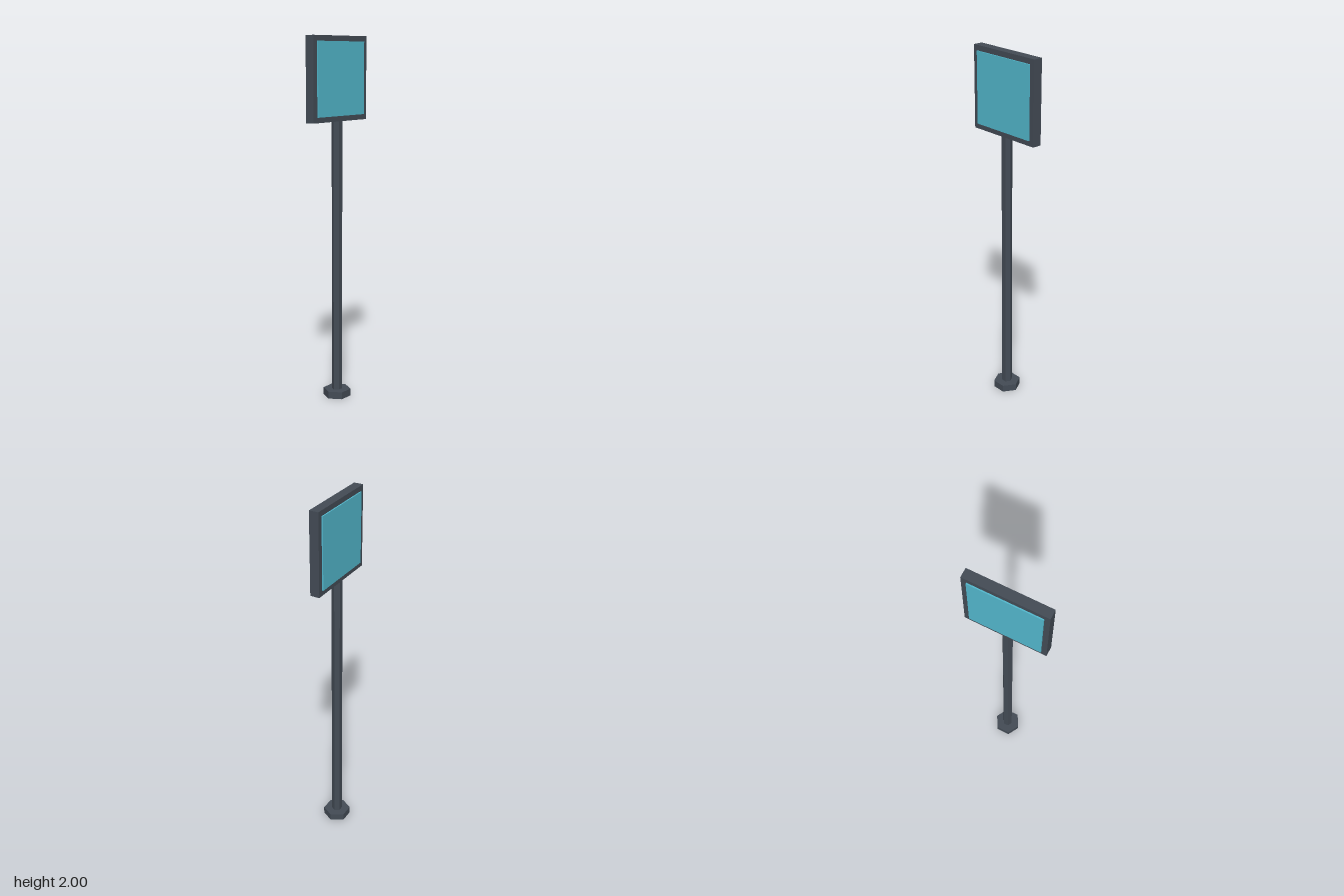
import * as THREE from 'three';

export function createModel() {
  const metal = new THREE.MeshStandardMaterial({ name: 'darkMetal', color: 0x434b55 });
  const glass = new THREE.MeshStandardMaterial({ name: 'cyanPanel', color: 0x52b7cc });
  const model = new THREE.Group();
  model.name = 'signPost';

  function add(name, geometry, material, y, z = 0) {
    const mesh = new THREE.Mesh(geometry, material);
    mesh.name = name;
    mesh.position.set(0, y, z);
    model.add(mesh);
  }

  // Six-sided prism with corners on the x axis and flat-shaded sides
  function hexPrism(radius, height) {
    const g = new THREE.CylinderGeometry(radius, radius, height, 6).rotateY(Math.PI / 6).toNonIndexed();
    g.computeVertexNormals();
    return g;
  }

  // Foot and pole
  add('base', hexPrism(0.077, 0.04), metal, 0.02);
  add('pole', hexPrism(0.029, 1.52), metal, 0.795);

  // Square frame around an opening
  const square = (Path, h) => new Path().moveTo(-h, -h).lineTo(h, -h).lineTo(h, h).lineTo(-h, h).closePath();
  const outline = square(THREE.Shape, 0.225);
  outline.holes.push(square(THREE.Path, 0.196));
  const frame = new THREE.ExtrudeGeometry(outline, { depth: 0.052, bevelEnabled: false });
  add('signFrame', frame.translate(0, 0, -0.026), metal, 1.775);

  // Panel fills the opening and stands slightly proud on both faces
  add('signPanel', new THREE.BoxGeometry(0.392, 0.392, 0.066), glass, 1.775);

  return model;
}
